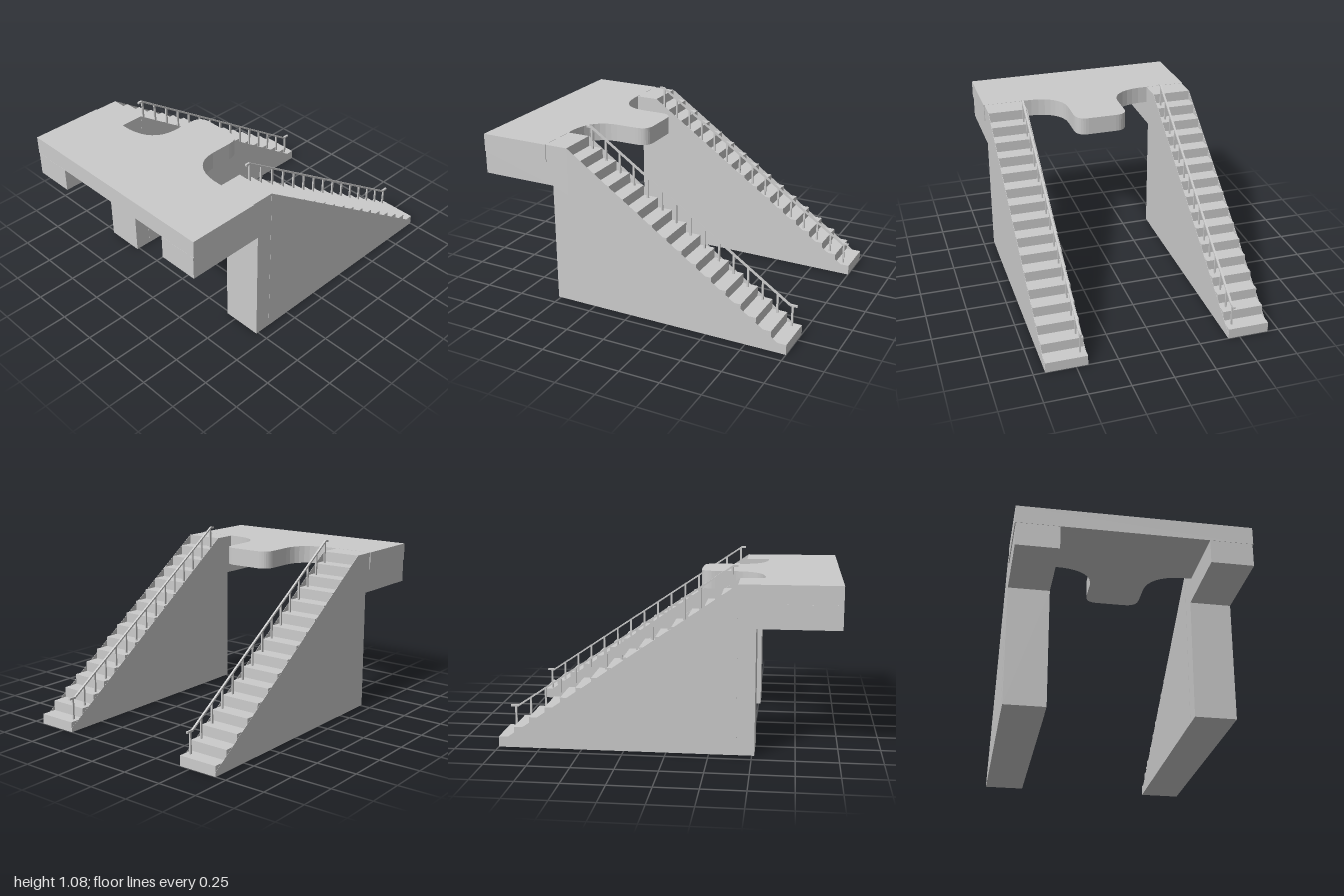
import * as THREE from 'three';

const STEPS = 16, RISE = 1 / STEPS, RUN = 1.41 / (STEPS - 1);
const INNER = 0.43, OUTER = 0.68;
const material = new THREE.MeshStandardMaterial({ color: 0xcccccc, side: THREE.DoubleSide });

function addMesh(parent, name, geometry) {
  const mesh = new THREE.Mesh(geometry, material);
  mesh.name = name;
  parent.add(mesh);
  return mesh;
}

// Extrudes a side profile of [z, y] points from x0 to x1.
function sideExtrude(points, x0, x1) {
  const shape = new THREE.Shape(points.map(([z, y]) => new THREE.Vector2(z, y)));
  return new THREE.ExtrudeGeometry(shape, { depth: x1 - x0, bevelEnabled: false })
    .rotateY(-Math.PI / 2).translate(x1, 0, 0);
}

// Solid stair block with its cantilevered front beam
function stairProfile() {
  const points = [[-1, 0]];
  for (let i = 0; i < STEPS; i++) {
    const z = -1 + i * RUN;
    if (i > 0) points.push([z, i * RISE]);
    points.push([z, (i + 1) * RISE]);
  }
  points.push([0.57, 1], [0.57, 0.89], [1, 0.89], [1, 0.747], [0.515, 0.747], [0.515, 0]);
  return points;
}

// Height of the handrail's centre line
const railY = z => THREE.MathUtils.clamp(0.195 + 0.674 * (z + 0.935), 0.195, 1.074);

function buildHandrail(x) {
  const rail = new THREE.Group();
  rail.name = 'handrail';
  const path = [-0.98, -0.935, 0.37, 0.398].map(z => [z, railY(z)]);
  const t = 0.006;
  const band = [...path.map(([z, y]) => [z, y - t]), ...path.reverse().map(([z, y]) => [z, y + t])];
  addMesh(rail, 'railBar', sideExtrude(band, x - t, x + t));
  // One post in the middle of each tread
  for (let i = 0; i < STEPS - 1; i++) {
    const z = -1 + (i + 0.53) * RUN, bottom = (i + 1) * RISE, top = railY(z);
    addMesh(rail, 'railPost', new THREE.BoxGeometry(0.009, top - bottom, 0.012))
      .position.set(x, (top + bottom) / 2, z);
  }
  return rail;
}

// Slab with a rounded tongue between the two stairs
function platformGeometry() {
  const s = new THREE.Shape();
  s.moveTo(-0.685, 1);
  s.lineTo(-0.685, 0.555);
  s.lineTo(-0.37, 0.555);
  s.bezierCurveTo(-0.24, 0.545, -0.17, 0.48, -0.168, 0.37);
  s.lineTo(-0.168, 0.24);
  s.bezierCurveTo(-0.168, 0.18, -0.145, 0.155, -0.09, 0.153);
  s.lineTo(0.09, 0.153);
  s.bezierCurveTo(0.145, 0.155, 0.168, 0.18, 0.168, 0.24);
  s.lineTo(0.168, 0.37);
  s.bezierCurveTo(0.17, 0.48, 0.24, 0.545, 0.37, 0.555);
  s.lineTo(0.685, 0.555);
  s.lineTo(0.685, 1);
  return new THREE.ExtrudeGeometry(s, { depth: 0.11, bevelEnabled: false, curveSegments: 8 })
    .rotateX(Math.PI / 2).translate(0, 1.001, 0);
}

export function createModel() {
  const model = new THREE.Group();
  model.name = 'stairPlatform';
  addMesh(model, 'platform', platformGeometry());

  for (const side of [-1, 1]) {
    const stair = new THREE.Group();
    stair.name = side > 0 ? 'leftStair' : 'rightStair';
    const x0 = side > 0 ? INNER : -OUTER, x1 = side > 0 ? OUTER : -INNER;
    addMesh(stair, 'stairBlock', sideExtrude(stairProfile(), x0, x1));
    // Thin sloping stringers closing both sides of the steps
    const slope = [[-1, 0], [0.41, 0], [0.41, 1], [-1, 0.025]];
    for (const x of [x0, x1])
      addMesh(stair, 'stringer', sideExtrude(slope, x - 0.001, x + 0.001));
    stair.add(buildHandrail(side * 0.464));
    model.add(stair);
  }
  return model;
}
